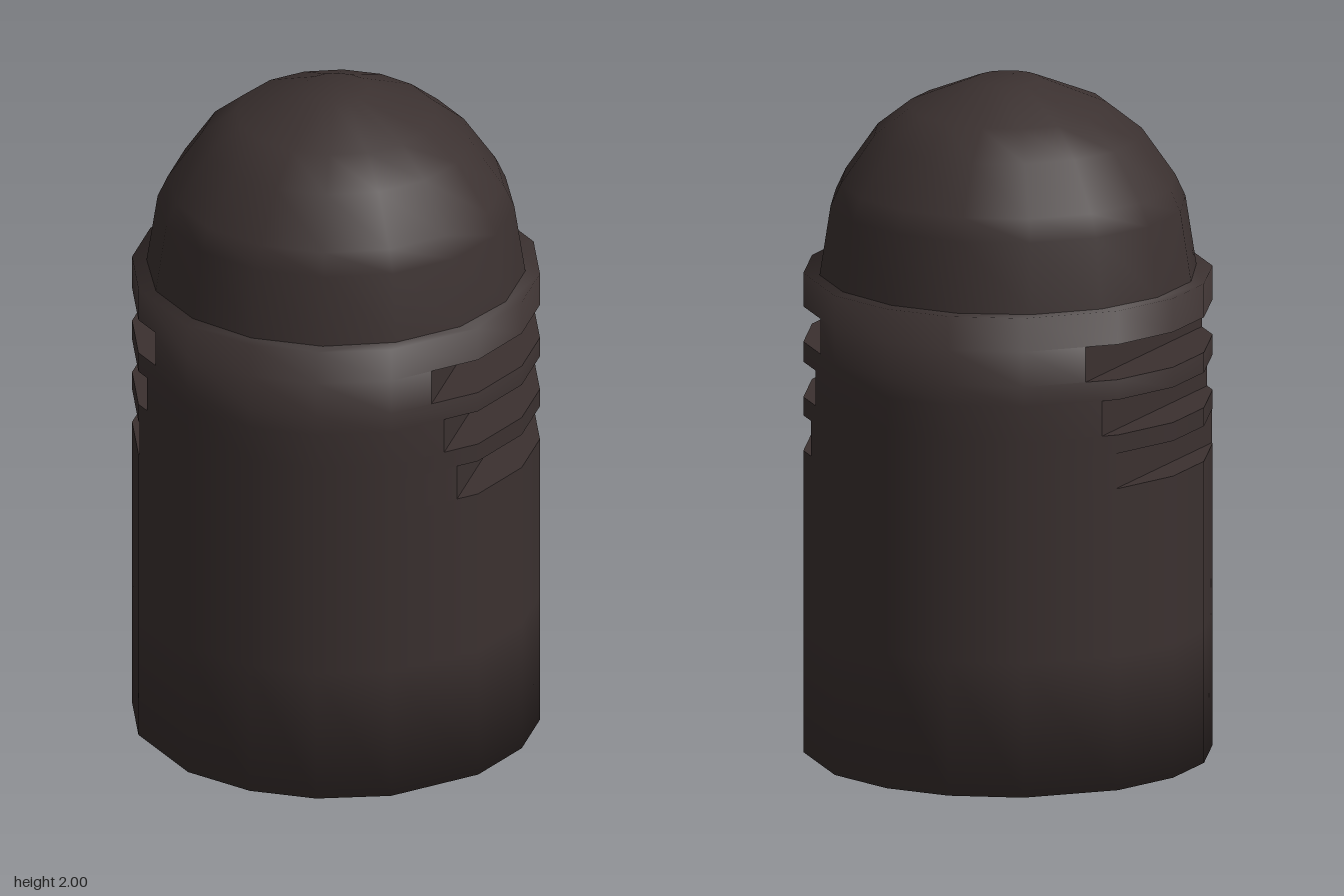
import * as THREE from 'three';
import { mergeGeometries } from 'three/addons/utils/BufferGeometryUtils.js';

const TOP = 1.43;

// Sixteen-sided outline of the body
const corners = [[0.585, 0.1], [0.51, 0.305], [0.305, 0.51], [0.1, 0.585]];
const quarter = (k) => corners.map(([x, y]) =>
  new THREE.Vector2(x, y).rotateAround(new THREE.Vector2(), k * Math.PI / 2));
const outline = [0, 1, 2, 3].flatMap(quarter);

// Keep the part of a convex outline where side * x <= limit
function clip(points, side, limit) {
  const out = [];
  points.forEach((p, i) => {
    const q = points[(i + 1) % points.length];
    const dp = limit - side * p.x;
    const dq = limit - side * q.x;
    if (dp >= 0) out.push(p);
    if (dp * dq < 0) out.push(p.clone().lerp(q, dp / (dp - dq)));
  });
  return out;
}

// Vertical lean of the softened normals near the two rims
function lean(y) {
  if (y < 0.4) return -0.9 * (1 - y / 0.4);
  return 0.9 * Math.max(0, (y - 1.15) / (TOP - 1.15));
}

// One horizontal slice, smooth around the outside and sharp in the slots
function slice(y0, y1, left = 1, right = 1) {
  const shape = new THREE.Shape(clip(clip(outline, 1, left), -1, right));
  const g = new THREE.ExtrudeGeometry(shape, { depth: y1 - y0, bevelEnabled: false });
  g.rotateX(-Math.PI / 2).translate(0, y0, 0);
  const pos = g.attributes.position;
  const nor = g.attributes.normal;
  const n = new THREE.Vector3();
  for (let i = 0; i < pos.count; i += 3) {
    const cx = (pos.getX(i) + pos.getX(i + 1) + pos.getX(i + 2)) / 3;
    const ny = nor.getY(i);
    const cy = pos.getY(i);
    const cap = Math.abs(ny) > 0.9;
    const endCap = cap && ((cy < 0.001 && ny < 0) || (cy > TOP - 0.001 && ny > 0));
    const slotWall = Math.abs(nor.getX(i)) > 0.999 && Math.abs(cx) < 0.55;
    if (slotWall || (cap && !endCap)) continue;
    for (let j = i; j < i + 3; j++) {
      n.set(pos.getX(j), 0, pos.getZ(j)).normalize();
      n.y = lean(pos.getY(j));
      n.normalize();
      nor.setXYZ(j, n.x, n.y, n.z);
    }
  }
  return g;
}

export function createModel() {
  const model = new THREE.Group();
  const dark = new THREE.MeshStandardMaterial({ color: 0x3b3130 });
  dark.name = 'darkBrown';

  // Body with three slots cut into each side
  const slices = [
    slice(0, 0.4),
    slice(0.4, 0.9),
    slice(0.9, 1.005, 0.46, 0.505),
    slice(1.005, 1.06),
    slice(1.06, 1.165, 0.43, 0.475),
    slice(1.165, 1.225),
    slice(1.225, 1.33, 0.4, 0.44),
    slice(1.33, TOP),
  ];
  const body = new THREE.Mesh(mergeGeometries(slices), dark);
  body.name = 'slottedBody';
  model.add(body);

  // Faceted dome set inside the rim
  const profile = [
    [0.55, TOP], [0.518, 1.635], [0.488, 1.7], [0.391, 1.84],
    [0.29, 1.92], [0.097, 2], [0, 2],
  ].map(([r, y]) => new THREE.Vector2(r, y));
  const dome = new THREE.Mesh(new THREE.LatheGeometry(profile, 16, Math.PI / 16), dark);
  dome.name = 'dome';
  model.add(dome);

  return model;
}
